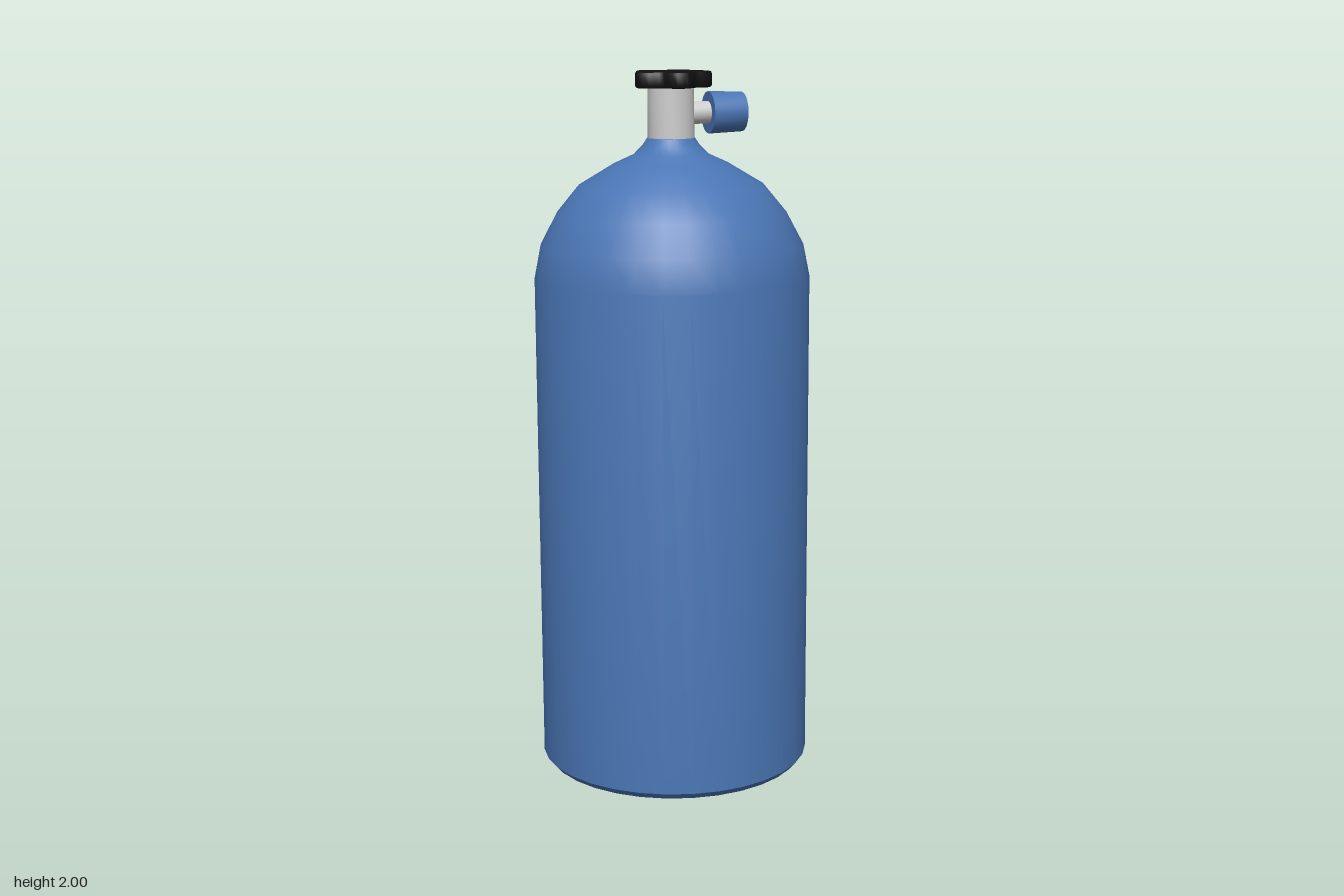
import * as THREE from 'three';
import { toCreasedNormals } from 'three/addons/utils/BufferGeometryUtils.js';

const blue = new THREE.MeshStandardMaterial({ color: 0x4a76b5 });
const grey = new THREE.MeshStandardMaterial({ color: 0xcccccc });
const black = new THREE.MeshStandardMaterial({ color: 0x111111 });

// Smooth turned part from [radius, height] pairs, listed bottom to top on the outside
function turned(name, profile, sides, material, crease = 0.6) {
  const points = profile.map(([r, y]) => new THREE.Vector2(r, y));
  const mesh = new THREE.Mesh(toCreasedNormals(new THREE.LatheGeometry(points, sides), crease), material);
  mesh.name = name;
  return mesh;
}

export function createModel() {
  const model = new THREE.Group();
  model.name = 'gasCylinder';

  // The whole cylinder leans back by one degree
  const tilted = new THREE.Group();
  tilted.name = 'leaningCylinder';
  tilted.rotation.x = -0.0175;
  tilted.position.set(0, 0, 0.0125);
  model.add(tilted);

  // Tank with chamfered foot, domed shoulder and flared collar
  tilted.add(turned('tankBody', [
    [0, 0.007], [0.372, 0.007], [0.388, 0.026], [0.388, 1.43], [0.37, 1.52], [0.322, 1.61],
    [0.26, 1.685], [0.16, 1.745], [0.105, 1.77], [0.08, 1.795], [0.067, 1.815], [0, 1.815],
  ], 32, blue));

  // Valve neck
  tilted.add(turned('valveNeck', [[0, 1.78], [0.065, 1.78], [0.065, 1.965], [0, 1.965]], 24, grey));

  // Side outlet: stub pipe and hollow tapered cap, turned to point along +x
  const outlet = new THREE.Group();
  outlet.name = 'sideOutlet';
  outlet.position.y = 1.882;
  outlet.rotation.z = -Math.PI / 2;
  outlet.add(turned('outletPipe', [[0, 0.04], [0.031, 0.04], [0.031, 0.13], [0, 0.13]], 16, grey));
  outlet.add(turned('outletCap', [
    [0.03, 0.11], [0.059, 0.11], [0.055, 0.21], [0.036, 0.21], [0.034, 0.13], [0.03, 0.11],
  ], 16, blue));
  tilted.add(outlet);

  // Five-lobed handwheel on top
  const outline = [];
  for (let i = 0; i < 50; i++) {
    const a = (i / 50) * Math.PI * 2;
    const r = 0.091 + 0.015 * Math.cos(5 * a);
    outline.push(new THREE.Vector2(r * Math.sin(a), r * Math.cos(a)));
  }
  const wheelGeometry = new THREE.ExtrudeGeometry(new THREE.Shape(outline), {
    depth: 0.029, bevelEnabled: true, bevelSize: 0.008, bevelThickness: 0.008, bevelSegments: 2,
  });
  wheelGeometry.rotateX(Math.PI / 2);
  const wheel = new THREE.Mesh(toCreasedNormals(wheelGeometry, 0.7), black);
  wheel.name = 'handwheel';
  wheel.position.y = 1.99;
  tilted.add(wheel);

  return model;
}
